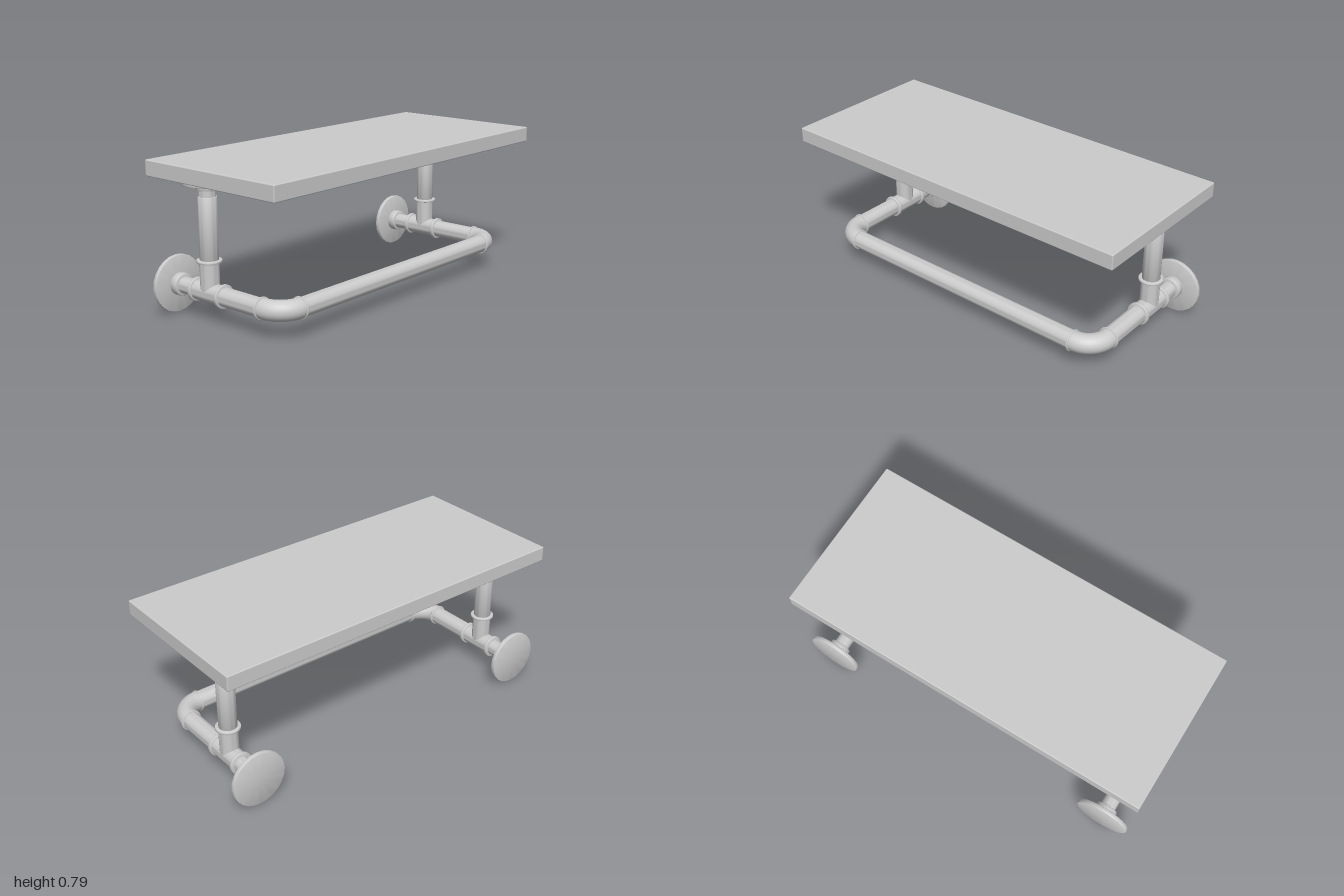
import * as THREE from 'three';
import { toCreasedNormals } from 'three/addons/utils/BufferGeometryUtils.js';
import { RoundedBoxGeometry } from 'three/addons/geometries/RoundedBoxGeometry.js';

const material = new THREE.MeshStandardMaterial({ color: 0xcccccc });
const PIPE_Y = 0.148, SIDE_Z = 0.85, POST_X = -0.165, BAR_X = 0.317, BEND = 0.12;

function add(parent, name, geometry) {
  const mesh = new THREE.Mesh(geometry, material);
  mesh.name = name;
  parent.add(mesh);
  return mesh;
}

// Closed round part from a to b along an axis, with bevelled rims
function round(parent, name, axis, a, b, r, bevel = 0, sides = 32) {
  const profile = [[0, a], [r - bevel, a]];
  if (bevel) profile.push([r - bevel * 0.3, a + bevel * 0.3], [r, a + bevel], [r, b - bevel], [r - bevel * 0.3, b - bevel * 0.3]);
  profile.push([r - bevel, b], [0, b]);
  if (!bevel) profile[1] = [r, a], profile[2] = [r, b];
  const geometry = new THREE.LatheGeometry(profile.map(([x, y]) => new THREE.Vector2(x, y)), sides);
  if (axis === 'x') geometry.rotateZ(-Math.PI / 2);
  if (axis === 'z') geometry.rotateX(Math.PI / 2);
  return add(parent, name, toCreasedNormals(geometry, 0.6));
}

// Quarter bend from the side arm into the cross bar
class QuarterBend extends THREE.Curve {
  constructor(side) {
    super();
    this.side = side;
  }
  getPoint(t, target = new THREE.Vector3()) {
    const a = t * Math.PI / 2;
    return target.set(BAR_X - BEND + BEND * Math.sin(a), 0, -this.side * BEND * (1 - Math.cos(a)));
  }
}

function createSide(side) {
  const group = new THREE.Group();
  group.name = side > 0 ? 'frontBracket' : 'rearBracket';

  // Horizontal arm with wall flange and tee
  const arm = new THREE.Group();
  arm.name = 'arm';
  round(arm, 'wallFlange', 'x', -0.42, -0.395, 0.147, 0.006, 24);
  round(arm, 'wallFlangeCollar', 'x', -0.397, -0.353, 0.058, 0.005);
  round(arm, 'wallNipple', 'x', -0.36, -0.26, 0.042);
  round(arm, 'teeRimBack', 'x', -0.269, -0.25, 0.06, 0.004);
  round(arm, 'teeBody', 'x', -0.255, -0.075, 0.05);
  round(arm, 'teeRimFront', 'x', -0.08, -0.061, 0.06, 0.004);
  round(arm, 'armPipe', 'x', -0.065, 0.19, 0.047);
  round(arm, 'elbowRim', 'x', 0.184, 0.194, 0.056, 0.003);
  add(arm, 'elbow', new THREE.TubeGeometry(new QuarterBend(side), 20, 0.051, 32));
  const end = side * -BEND;
  round(arm, 'elbowBarRim', 'z', end - 0.005, end + 0.005, 0.056, 0.003).position.x = BAR_X;
  group.add(arm);

  // Upright post carrying the shelf, heights measured from the arm axis
  const post = new THREE.Group();
  post.name = 'post';
  post.position.x = POST_X;
  const upright = (name, bottom, top, r, bevel) =>
    round(post, name, 'y', bottom - PIPE_Y, top - PIPE_Y, r, bevel);
  upright('teeStem', 0.15, 0.305, 0.048);
  upright('teeStemRim', 0.302, 0.316, 0.063, 0.004);
  upright('postPipe', 0.312, 0.626, 0.046, 0.003);
  upright('postNipple', 0.62, 0.662, 0.042);
  upright('shelfFlangeCollar', 0.658, 0.69, 0.052, 0.004);
  upright('shelfFlange', 0.685, 0.712, 0.12, 0.007);
  group.add(post);

  group.position.set(0, PIPE_Y, side * SIDE_Z);
  return group;
}

export function createModel() {
  const model = new THREE.Group();
  model.name = 'pipeShelf';

  // Shelf board
  add(model, 'shelfBoard', new RoundedBoxGeometry(0.864, 0.081, 2, 2, 0.006)).position.y = 0.75;

  for (const side of [1, -1]) model.add(createSide(side));

  // Long cross bar joining the elbows
  const half = SIDE_Z - BEND + 0.003;
  round(model, 'crossBar', 'z', -half, half, 0.048).position.set(BAR_X, PIPE_Y, 0);

  return model;
}
